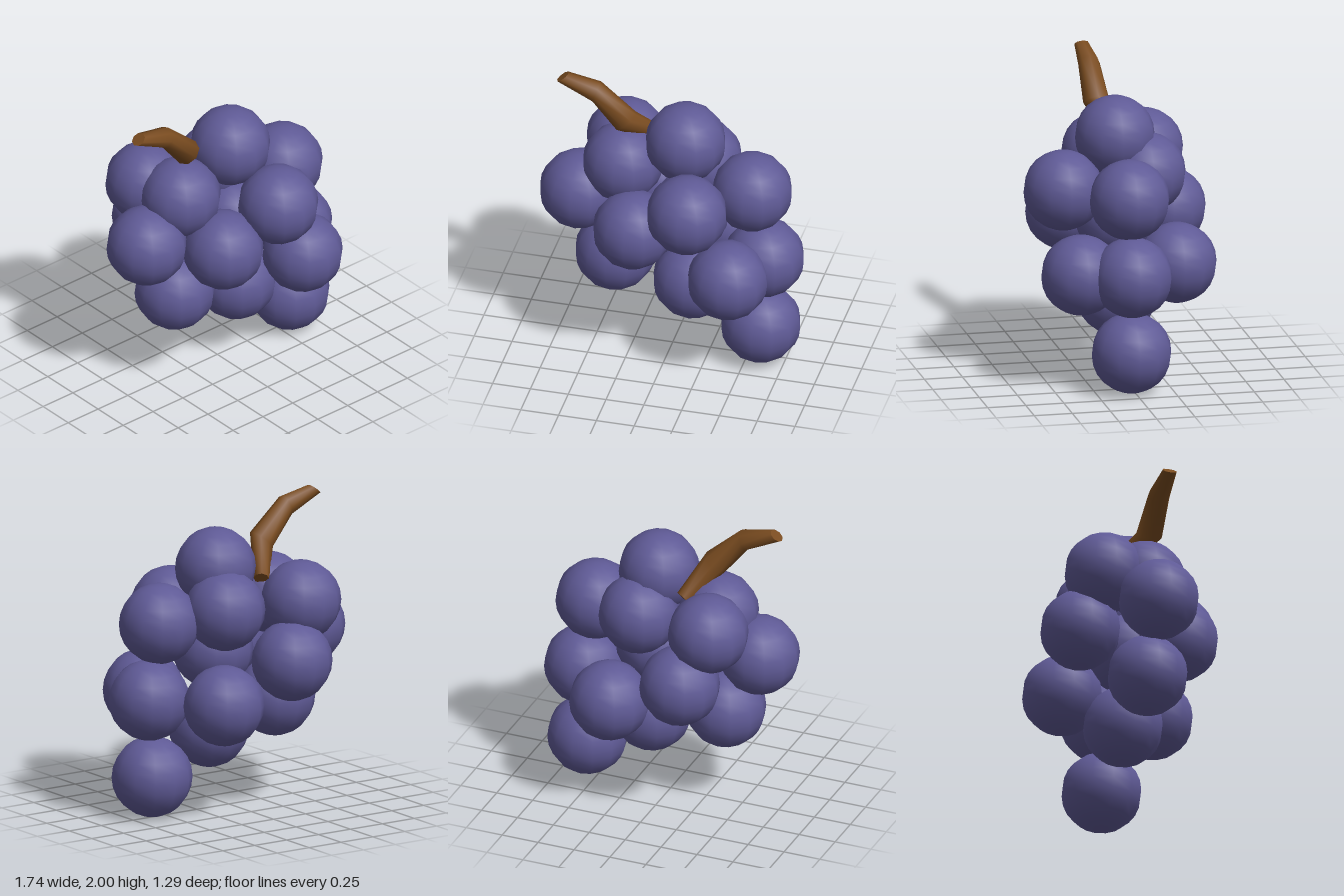
import * as THREE from 'three';

const SIDES = 8;

// Tapered, bent stem lofted through oval rings
function stemGeometry() {
  // centre, in-plane axis, cross axis, radius
  const rings = [
    { c: [-0.712, 1.97, 0.06], u: [0.78, 0.62, 0], v: [0, 0, 1], r: 0.048 },
    { c: [-0.488, 1.892, 0.06], u: [0.32, 0.95, 0], v: [0, 0, 1], r: 0.071 },
    { c: [-0.295, 1.695, 0.055], u: [0.76, 0.65, 0], v: [0, 0, 1], r: 0.087 },
    { c: [-0.15, 1.5, -0.15], u: [0.8, 0.6, 0], v: [0.37, -0.5, 0.78], r: 0.05 },
  ];
  const positions = [];
  const index = [];
  const addRing = ({ c, u, v, r }) => {
    const start = positions.length / 3;
    for (let j = 0; j < SIDES; j++) {
      const a = (j / SIDES) * Math.PI * 2;
      for (let k = 0; k < 3; k++) {
        positions.push(c[k] + r * (u[k] * Math.cos(a) + v[k] * Math.sin(a)));
      }
    }
    return start;
  };

  // side walls
  const starts = rings.map(addRing);
  for (let i = 0; i < rings.length - 1; i++) {
    for (let j = 0; j < SIDES; j++) {
      const n = (j + 1) % SIDES;
      const a = starts[i] + j, b = starts[i] + n;
      const c = starts[i + 1] + j, d = starts[i + 1] + n;
      index.push(a, b, c, b, d, c);
    }
  }

  // end caps with their own vertices, so the rims stay sharp
  const tip = addRing(rings[0]);
  const base = addRing(rings[rings.length - 1]);
  for (let j = 1; j < SIDES - 1; j++) {
    index.push(tip, tip + j + 1, tip + j);
    index.push(base, base + j, base + j + 1);
  }

  const geometry = new THREE.BufferGeometry();
  geometry.setAttribute('position', new THREE.Float32BufferAttribute(positions, 3));
  geometry.setIndex(index);
  geometry.computeVertexNormals();
  return geometry;
}

export function createModel() {
  const model = new THREE.Group();
  model.name = 'grapeBunch';

  const grapeSkin = new THREE.MeshStandardMaterial({ color: 0x5f5a96 });
  grapeSkin.name = 'grape purple';
  const bark = new THREE.MeshStandardMaterial({ color: 0x7a4c20 });
  bark.name = 'stem brown';

  // Grapes, listed from top to bottom
  const centres = [
    [0.09, 1.575, 0.02],
    [-0.375, 1.35, -0.27],
    [-0.325, 1.355, 0.02],
    [0.15, 1.335, -0.17],
    [0.19, 1.26, 0.38],
    [0.53, 1.265, 0.02],
    [-0.61, 1.1, 0.02],
    [0.11, 1.04, 0.02],
    [-0.19, 1.025, 0.285],
    [-0.225, 0.995, -0.385],
    [0.61, 0.77, 0.02],
    [0.445, 0.76, 0.32],
    [0.28, 0.76, -0.345],
    [-0.375, 0.665, 0.02],
    [0.14, 0.53, 0.02],
    [0.587, 0.262, 0.02],
  ];
  const grapeGeometry = new THREE.SphereGeometry(0.261, 12, 12);
  const grapes = new THREE.Group();
  grapes.name = 'grapes';
  centres.forEach((centre, i) => {
    const grape = new THREE.Mesh(grapeGeometry, grapeSkin);
    grape.name = `grape${i + 1}`;
    grape.position.set(...centre);
    grapes.add(grape);
  });
  model.add(grapes);

  // Stem
  const stem = new THREE.Mesh(stemGeometry(), bark);
  stem.name = 'stem';
  model.add(stem);

  return model;
}
